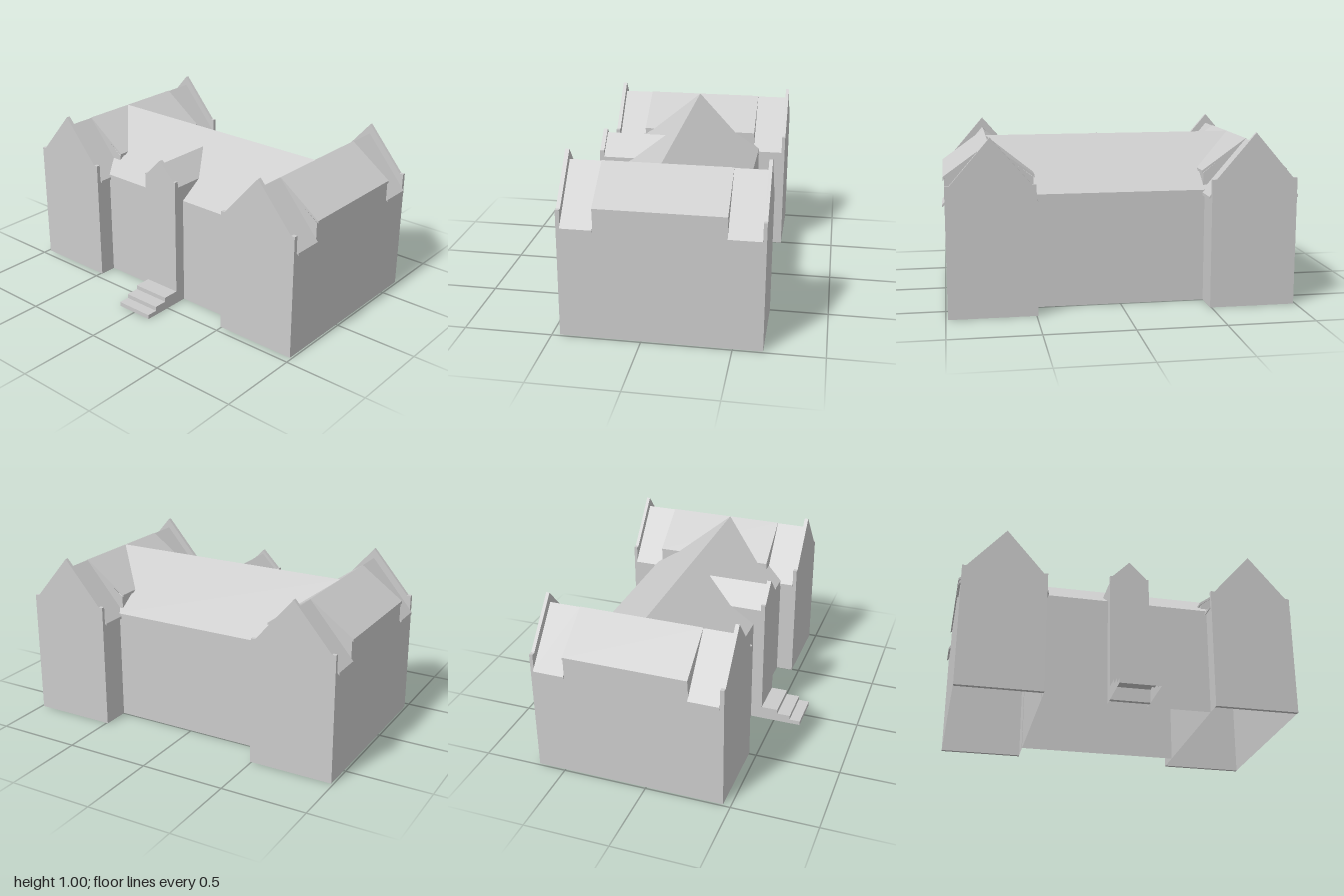
import * as THREE from 'three';

const material = new THREE.MeshStandardMaterial({ color: 0xcccccc, flatShading: true, side: THREE.DoubleSide });

function mesh(name, geometry, parent) {
  const m = new THREE.Mesh(geometry, material);
  m.name = name;
  parent.add(m);
  return m;
}

// Open shell made of flat convex polygons, each a list of [x, y, z] corners
function shell(name, polygons, parent) {
  const pos = [];
  for (const p of polygons)
    for (let i = 1; i < p.length - 1; i++) pos.push(...p[0], ...p[i], ...p[i + 1]);
  const g = new THREE.BufferGeometry();
  g.setAttribute('position', new THREE.Float32BufferAttribute(pos, 3));
  g.computeVertexNormals();
  return mesh(name, g, parent);
}

// Symmetric profile given by its right half (bottom to top), extruded from z0 to z1
function prism(name, points, z0, z1, parent) {
  const g = new THREE.ExtrudeGeometry(new THREE.Shape(points.map(([x, y]) => new THREE.Vector2(x, y))),
    { depth: z1 - z0, bevelEnabled: false });
  g.translate(0, 0, z0);
  return mesh(name, g, parent);
}

function gable(name, half, shoulder, peak, inset, z0, z1, parent) {
  return prism(name, [[-half, 0], [half, 0], [half, shoulder], [half - inset, shoulder],
    [0, peak], [inset - half, shoulder], [-half, shoulder]], z0, z1, parent);
}

// Two thin sloping slabs meeting at a ridge
function roof(name, half, eave, ridge, t, z0, z1, parent) {
  return prism(name, [[half, eave], [0, ridge], [-half, eave], [-half, eave - t],
    [0, ridge - t], [half, eave - t]], z0, z1, parent);
}

// Wall facing along x between two depths
const sideWall = (x, y0, y1, z0, z1) => x > 0
  ? [[x, y0, z1], [x, y0, z0], [x, y1, z0], [x, y1, z1]]
  : [[x, y0, z0], [x, y0, z1], [x, y1, z1], [x, y1, z0]];

function createWing(name, x) {
  const wing = new THREE.Group();
  wing.name = name;
  wing.position.x = x;
  const h = 0.248, back = -0.645, front = 0.432, midBack = -0.463, midFront = 0.255;

  // Side walls, taller below the shallow middle roof
  const walls = [];
  for (const s of [-1, 1]) {
    walls.push(sideWall(s * h, 0, 0.635, back, front));
    walls.push(sideWall(s * h, 0.635, 0.75, midBack, midFront));
    // Cheeks closing the step between the two roof pitches
    for (const z of [midBack, midFront])
      walls.push([[0, 0.935, z], [s * h, 0.75, z], [s * h, 0.635, z]]);
  }
  shell('wingWalls', walls, wing);

  roof('middleRoof', 0.256, 0.762, 0.945, 0.015, midBack, midFront, wing);
  roof('frontEndRoof', 0.26, 0.64, 0.942, 0.016, midFront, front, wing);
  roof('backEndRoof', 0.26, 0.64, 0.942, 0.016, back, midBack, wing);
  gable('frontGable', h, 0.74, 1, 0.024, front, 0.455, wing);
  gable('backGable', h, 0.74, 1, 0.024, -0.665, back, wing);
  return wing;
}

function createHall() {
  const hall = new THREE.Group();
  hall.name = 'hall';
  const w = 0.495, zf = 0.352, zb = -0.497, zr = -0.072, eave = 0.655, ridge = 0.945;
  shell('hallWalls', [
    [[-w, 0, zf], [w, 0, zf], [w, eave, zf], [-w, eave, zf]],
    [[w, 0, zb], [-w, 0, zb], [-w, eave, zb], [w, eave, zb]],
  ], hall);
  // Roof runs into the wing ridges at both ends
  const e = 0.515, r = 0.74;
  shell('hallRoof', [
    [[-e, eave, zf], [e, eave, zf], [r, ridge, zr], [-r, ridge, zr]],
    [[e, eave, zb], [-e, eave, zb], [-r, ridge, zr], [r, ridge, zr]],
  ], hall);
  return hall;
}

function createPorch() {
  const porch = new THREE.Group();
  porch.name = 'porch';
  const h = 0.117, front = 0.395, eave = 0.752, ridge = 0.872;
  const walls = [], slopes = [];
  for (const s of [-1, 1]) {
    walls.push(sideWall(s * h, 0, 0.655, 0.352, front));
    walls.push([[s * h, 0.655, front], [s * h, 0.655, 0.352], [s * h, eave, 0.21], [s * h, eave, front]]);
    slopes.push([[s * h, eave, front], [s * h, eave, 0.21], [0, ridge, 0.034], [0, ridge, front]]);
  }
  shell('porchWalls', walls, porch);
  shell('porchRoof', slopes, porch);
  gable('porchGable', h, 0.79, 0.895, 0.014, front, 0.42, porch);
  return porch;
}

// Hollow flight of treads, risers and sides
function createSteps() {
  const h = 0.117, edges = [0.42, 0.52, 0.6, 0.665], faces = [];
  for (let i = 0; i < 3; i++) {
    const y = 0.0265 * (3 - i), low = y - 0.0265, z0 = edges[i], z1 = edges[i + 1];
    faces.push([[-h, y, z1], [h, y, z1], [h, y, z0], [-h, y, z0]]);
    faces.push([[-h, low, z1], [h, low, z1], [h, y, z1], [-h, y, z1]]);
    faces.push(sideWall(h, 0, y, z0, z1), sideWall(-h, 0, y, z0, z1));
  }
  const steps = new THREE.Group();
  steps.name = 'steps';
  shell('frontSteps', faces, steps);
  return steps;
}

export function createModel() {
  const model = new THREE.Group();
  model.name = 'house';
  model.add(createHall(), createWing('leftWing', 0.74), createWing('rightWing', -0.74), createPorch(), createSteps());
  return model;
}
